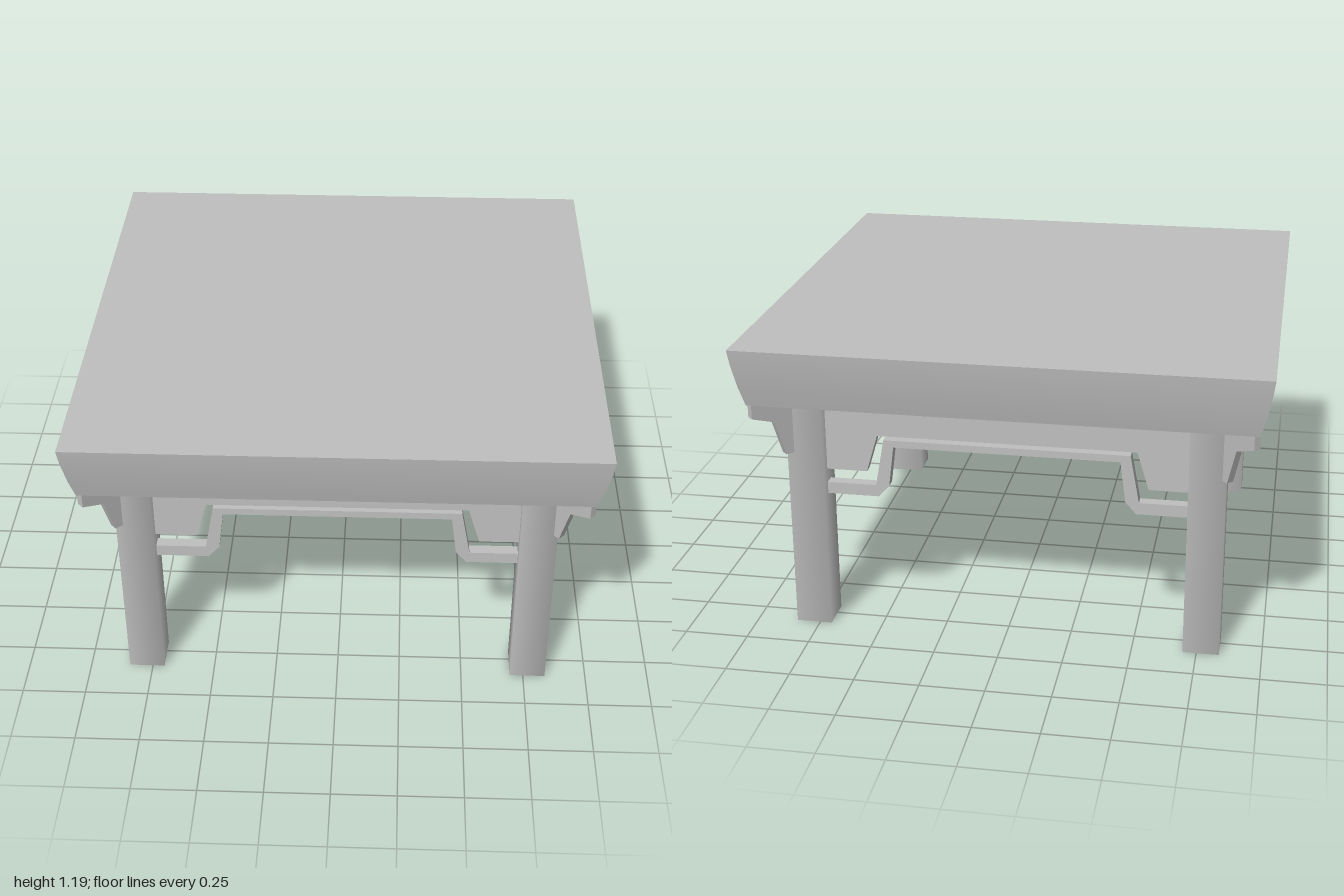
import * as THREE from 'three';

export function createModel() {
  const model = new THREE.Group();
  const grey = new THREE.MeshStandardMaterial({ color: 0xc0c0c0 });
  grey.name = 'grey';

  const add = (parent, name, geometry) => {
    const mesh = new THREE.Mesh(geometry, grey);
    mesh.name = name;
    parent.add(mesh);
    return mesh;
  };
  // Flat outline in x and y, given thickness centred on z = 0
  const plate = (points, thickness) => new THREE.ExtrudeGeometry(
    new THREE.Shape(points.map(([x, y]) => new THREE.Vector2(x, y))),
    { depth: thickness, bevelEnabled: false }).translate(0, 0, -thickness / 2);
  // Completes a left-to-centre path with its mirror image
  const mirrored = (half) => [...half, ...half.map(([x, y]) => [-x, y]).reverse()];

  // Table top: four softly curved edges between two square faces
  const top = new THREE.Group();
  top.name = 'tableTop';
  model.add(top);
  const edge = [[0.955, 0.96], [0.975, 1.04], [0.992, 1.13], [1, 1.19]]
    .map(([r, y]) => new THREE.Vector2(r * Math.SQRT2, y));
  for (let i = 0; i < 4; i++) {
    const side = new THREE.LatheGeometry(edge, 1, Math.PI / 4 + i * Math.PI / 2, Math.PI / 2);
    side.computeVertexNormals();
    add(top, 'topEdge', side);
  }
  add(top, 'topSurface', new THREE.PlaneGeometry(2, 2).rotateX(-Math.PI / 2).translate(0, 1.19, 0));
  add(top, 'underside', new THREE.PlaneGeometry(1.91, 1.91).rotateX(Math.PI / 2).translate(0, 0.96, 0));

  // Shared outlines
  const apron = plate(mirrored([[-0.75, 0.96], [-0.75, 0.65], [-0.545, 0.65], [-0.5, 0.8]]), 0.04);
  const railOuter = mirrored([[-0.76, 0.595], [-0.51, 0.595], [-0.475, 0.785]]);
  const railInner = mirrored([[-0.76, 0.548], [-0.5, 0.548], [-0.458, 0.595], [-0.437, 0.757]]);
  const rail = plate([...railOuter, ...railInner.reverse()], 0.045);
  const ear = plate([[0.76, 0.96], [0.945, 0.96], [0.945, 0.905], [0.88, 0.872], [0.85, 0.73], [0.78, 0.73]]
    .map(([x, y]) => [x * Math.SQRT2, y]), 0.03);
  const leg = new THREE.CylinderGeometry(0.07 * Math.SQRT2, 0.07 * Math.SQRT2, 0.96, 4)
    .rotateY(Math.PI / 4).translate(0, 0.48, 0);

  // Each quarter turn carries one side and one corner
  for (let i = 0; i < 4; i++) {
    const quarter = new THREE.Group();
    quarter.name = 'frameSide';
    quarter.rotation.y = i * Math.PI / 2;
    model.add(quarter);
    add(quarter, 'apron', apron).position.z = 0.77;
    add(quarter, 'humpedRail', rail).position.z = 0.77;
    add(quarter, 'leg', leg).position.set(0.767, 0, 0.773);
    add(quarter, 'cornerBracket', ear).rotation.y = -Math.PI / 4;
  }
  return model;
}
